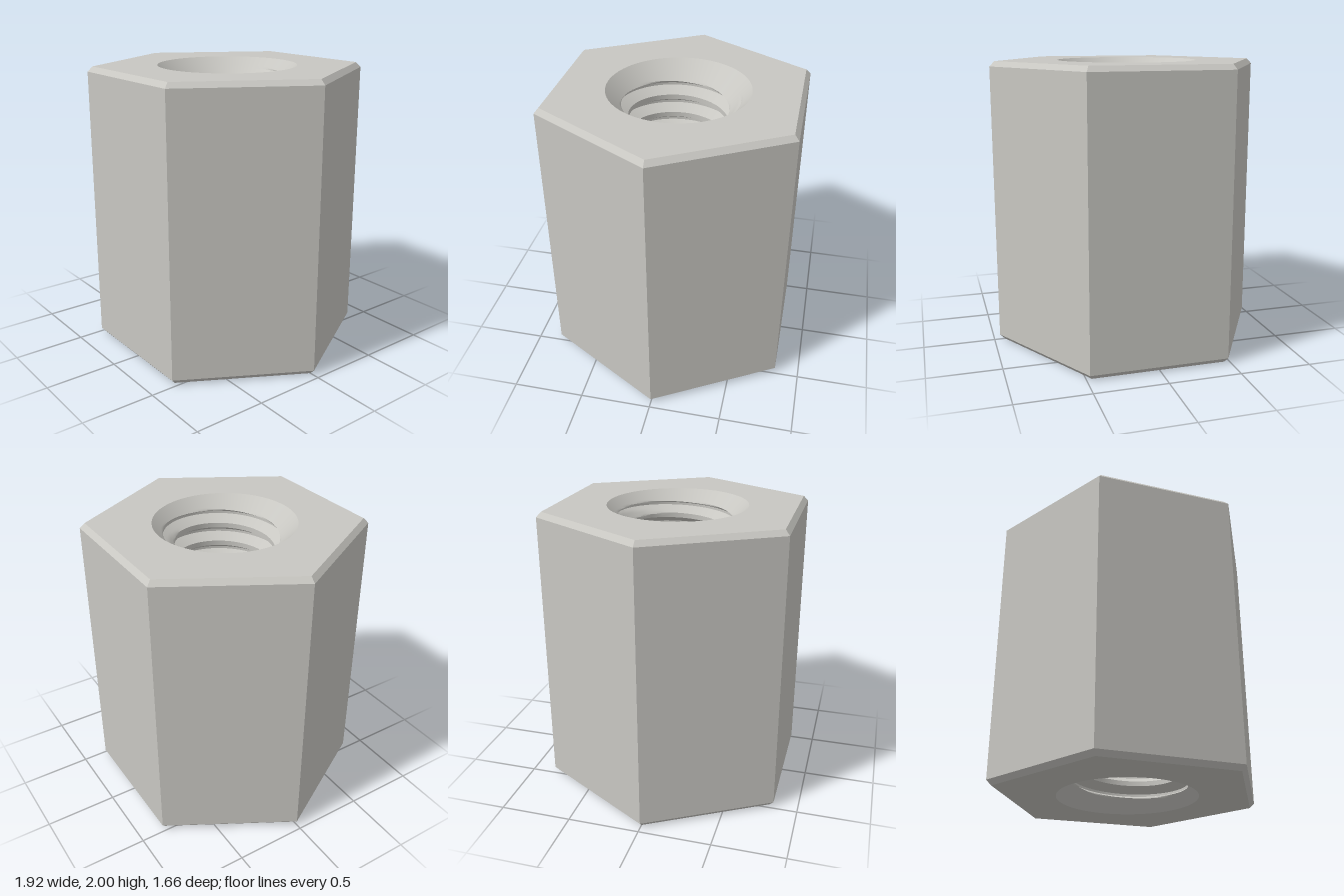
import * as THREE from 'three';
import { toCreasedNormals } from 'three/addons/utils/BufferGeometryUtils.js';

const HEIGHT = 2, CHAMFER = 0.035;
const HEX_R = 0.96, FACE_R = 0.925; // corner radius of the walls and of the end faces
const RIM_R = 0.485, MAJOR_R = 0.415, MINOR_R = 0.34; // countersink rim, thread root, thread crest
const PITCH = 0.1385, STEPS = 16, COLUMNS = 72;

// Six flat walls with a chamfer at each end
function hexWalls() {
  const profile = [
    new THREE.Vector2(FACE_R, 0),
    new THREE.Vector2(HEX_R, CHAMFER),
    new THREE.Vector2(HEX_R, HEIGHT - CHAMFER),
    new THREE.Vector2(FACE_R, HEIGHT),
  ];
  const geometry = new THREE.LatheGeometry(profile, 6, Math.PI / 2).toNonIndexed();
  geometry.computeVertexNormals();
  return geometry;
}

// Hexagonal end face with the round hole
function endFace() {
  const shape = new THREE.Shape();
  for (let i = 0; i < 6; i++) {
    const a = (i * Math.PI) / 3;
    shape[i ? 'lineTo' : 'moveTo'](FACE_R * Math.cos(a), FACE_R * Math.sin(a));
  }
  shape.closePath();
  const hole = new THREE.Path();
  hole.absarc(0, 0, RIM_R, 0, Math.PI * 2, true);
  shape.holes.push(hole);
  return new THREE.ShapeGeometry(shape, COLUMNS / 2);
}

// Right-hand thread running into a 45 degree countersink at both ends
function threadedBore() {
  const point = (i, j) => {
    const t = (i / COLUMNS) * Math.PI * 2;
    const turn = i / COLUMNS - 100 / 360;
    const y = THREE.MathUtils.clamp(1.935 + PITCH * (turn + j / STEPS), 0, HEIGHT);
    const m = ((j % STEPS) + STEPS) % STEPS;
    const fromRoot = Math.min(m, STEPS - m);
    const thread = THREE.MathUtils.mapLinear(THREE.MathUtils.clamp(fromRoot, 1, 6), 1, 6, MAJOR_R, MINOR_R);
    const cone = RIM_R - Math.min(y, HEIGHT - y);
    const r = Math.max(thread, cone);
    return new THREE.Vector3(r * Math.cos(t), y, -r * Math.sin(t));
  };
  const positions = [];
  const addTriangle = (a, b, c) => {
    const area = b.clone().sub(a).cross(c.clone().sub(a)).length();
    if (area > 1e-8) for (const p of [a, b, c]) positions.push(p.x, p.y, p.z);
  };
  for (let i = 0; i < COLUMNS; i++) {
    for (let j = -15 * STEPS; j < STEPS; j++) {
      const a = point(i, j), b = point(i, j + 1);
      const c = point(i + 1, j + 1), d = point(i + 1, j);
      addTriangle(a, b, d);
      addTriangle(b, c, d);
    }
  }
  const geometry = new THREE.BufferGeometry();
  geometry.setAttribute('position', new THREE.Float32BufferAttribute(positions, 3));
  return toCreasedNormals(geometry, Math.PI / 7);
}

export function createModel() {
  const metal = new THREE.MeshStandardMaterial({ color: 0xc8c7c2 });
  metal.name = 'metal';
  const group = new THREE.Group();
  group.name = 'hexStandoff';
  const add = (name, geometry) => {
    const mesh = new THREE.Mesh(geometry, metal);
    mesh.name = name;
    group.add(mesh);
    return mesh;
  };

  add('hexWalls', hexWalls());
  const top = add('topFace', endFace());
  top.rotation.x = -Math.PI / 2;
  top.position.y = HEIGHT;
  add('bottomFace', endFace()).rotation.x = Math.PI / 2;
  add('threadedBore', threadedBore());
  return group;
}
